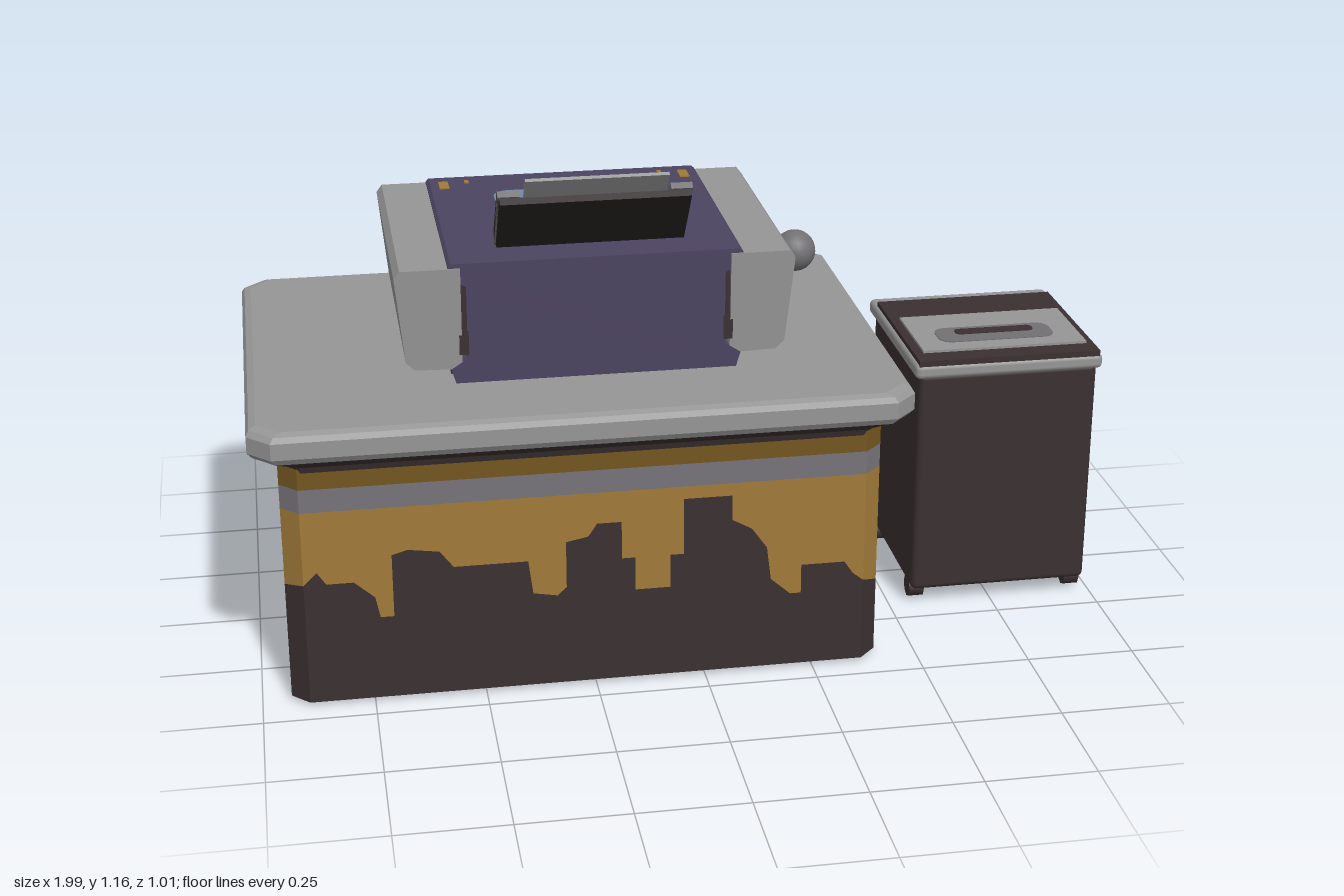
import * as THREE from 'three';
import { RoundedBoxGeometry } from 'three/addons/geometries/RoundedBoxGeometry.js';

const mat = (name, color, side = THREE.FrontSide) => {
  const m = new THREE.MeshStandardMaterial({ color, side });
  m.name = name;
  return m;
};

export function createModel() {
  const lightGrey = mat('light grey', 0x969696);
  const midGrey = mat('mid grey', 0x727073);
  const dark = mat('dark brown', 0x3b3031, THREE.DoubleSide);
  const gold = mat('gold', 0xa17a39, THREE.DoubleSide);
  const deepGold = mat('deep gold', 0x73561f, THREE.DoubleSide);
  const stripe = mat('stripe grey', 0x77747a, THREE.DoubleSide);
  const purple = mat('purple', 0x4c4461);
  const paleBlue = mat('pale blue', 0x7585a2);
  const blue = mat('blue', 0x22588a);
  const black = mat('near black', 0x272021);

  const root = new THREE.Group();
  const group = (name) => {
    const g = new THREE.Group();
    g.name = name;
    root.add(g);
    return g;
  };
  const add = (parent, name, geo, m, x = 0, y = 0, z = 0) => {
    const mesh = new THREE.Mesh(geo, m);
    mesh.name = name;
    mesh.position.set(x, y, z);
    parent.add(mesh);
    return mesh;
  };
  // box given by its limits on each axis, optionally rounded
  const box = (parent, name, m, [x0, x1], [y0, y1], [z0, z1], r = 0) => {
    const s = [x1 - x0, y1 - y0, z1 - z0];
    const geo = r ? new RoundedBoxGeometry(...s, 2, r) : new THREE.BoxGeometry(...s);
    return add(parent, name, geo, m, (x0 + x1) / 2, (y0 + y1) / 2, (z0 + z1) / 2);
  };
  // faceted surface between successive closed rings, lowest first
  const loft = (rings, capTop, capBottom) => {
    const v = [];
    const tri = (...ps) => ps.forEach((p) => v.push(...p));
    const n = rings[0].length;
    for (let k = 0; k + 1 < rings.length; k++) {
      for (let i = 0; i < n; i++) {
        const j = (i + 1) % n, a = rings[k], b = rings[k + 1];
        tri(a[i], a[j], b[j]);
        tri(a[i], b[j], b[i]);
      }
    }
    const lo = rings[0], hi = rings[rings.length - 1];
    for (let i = 1; i < n - 1; i++) {
      if (capTop) tri(hi[0], hi[i], hi[i + 1]);
      if (capBottom) tri(lo[0], lo[i + 1], lo[i]);
    }
    const g = new THREE.BufferGeometry();
    g.setAttribute('position', new THREE.Float32BufferAttribute(v, 3));
    g.computeVertexNormals();
    return g;
  };
  const cutRect = (hx, hz, c, y) => [
    [-hx + c, hz], [hx - c, hz], [hx, hz - c], [hx, -hz + c],
    [hx - c, -hz], [-hx + c, -hz], [-hx, -hz + c], [-hx, hz - c],
  ].map(([x, z]) => [x, y, z]);

  // ---- counter ----
  const counter = group('counter');
  counter.position.x = -0.265;
  const hx = 0.67, hz = 0.443;
  // skyline of the dark lower paint: distance along the wall, height
  const longSide = [
    [-0.63, 0.3], [-0.6, 0.33], [-0.58, 0.3], [-0.52, 0.3], [-0.475, 0.26], [-0.465, 0.21],
    [-0.435, 0.21], [-0.435, 0.36], [-0.4, 0.37], [-0.33, 0.36], [-0.3, 0.32], [-0.135, 0.32],
    [-0.125, 0.24], [-0.07, 0.23], [-0.05, 0.25], [-0.05, 0.36], [0, 0.37], [0.02, 0.4],
    [0.075, 0.4], [0.075, 0.31], [0.105, 0.31], [0.105, 0.23], [0.185, 0.23], [0.185, 0.31],
    [0.215, 0.31], [0.215, 0.445], [0.325, 0.445], [0.325, 0.385], [0.37, 0.36], [0.405, 0.31],
    [0.415, 0.23], [0.46, 0.19], [0.485, 0.19], [0.485, 0.26], [0.585, 0.26], [0.605, 0.23], [0.63, 0.21],
  ];
  const shortSide = [
    [0.403, 0.19], [0.4, 0.14], [0.39, 0.14], [0.39, 0.29], [0.31, 0.29], [0.31, 0.15],
    [0.28, 0.12], [0.27, 0.08], [0.25, 0.08], [0.21, 0.1], [0.205, 0.2], [0.1, 0.22],
    [0.08, 0.15], [-0.02, 0.15], [-0.04, 0.2], [-0.12, 0.2], [-0.12, 0.3], [-0.2, 0.3],
    [-0.21, 0.18], [-0.25, 0.1], [-0.3, 0.1], [-0.31, 0.17], [-0.398, 0.17], [-0.403, 0.29],
  ];
  const half = [
    ...longSide.map(([x, h]) => [x, h, hz]),
    ...shortSide.map(([z, h]) => [hx, h, z]),
  ];
  const skyline = [...half, ...half.map(([x, h, z]) => [-x, h, -z])];
  const level = (y) => skyline.map(([x, , z]) => [x, y, z]);
  add(counter, 'lowerWall', loft([level(0.01), skyline]), dark);
  add(counter, 'paintedWall', loft([skyline, level(0.475)]), gold);
  add(counter, 'wallStripe', loft([level(0.475), level(0.53)]), stripe);
  add(counter, 'upperWall', loft([level(0.53), level(0.58)]), deepGold);
  const slab = (list) => list.map(([y, inset]) => cutRect(0.732 - inset, 0.504 - inset, 0.05, y));
  add(counter, 'topCove', loft(slab([[0.57, 0.061], [0.585, 0.056], [0.6, 0.035], [0.615, 0.01]]), false, true), dark);
  add(counter, 'counterTop', loft(slab([[0.615, 0.01], [0.63, 0], [0.668, 0], [0.68, 0.007], [0.686, 0.022]]), true), lightGrey);
  add(root, 'ball', new THREE.SphereGeometry(0.052, 20, 14), midGrey, 0.365, 0.736, -0.34);

  // ---- machine on the counter ----
  const machine = group('machine');
  machine.position.x = -0.217;
  const poly = (pts) => new THREE.Shape(pts.map((p) => new THREE.Vector2(...p)));
  const halfBody = [[0.315, 0.685], [0.325, 0.72], [0.288, 0.745], [0.288, 0.915], [0.327, 0.94], [0.327, 0.963], [0.32, 0.97]];
  const bodyGeo = new THREE.ExtrudeGeometry(
    poly([...halfBody, ...halfBody.map(([x, y]) => [-x, y]).reverse()]),
    { depth: 0.625, bevelEnabled: false });
  // lower body is drawn in slightly at front and back
  const taper = (geo, mid, rate) => {
    const p = geo.attributes.position;
    for (let i = 0; i < p.count; i++) {
      const k = 1 - rate * (0.96 - Math.min(p.getY(i), 0.96));
      p.setZ(i, mid + (p.getZ(i) - mid) * k);
    }
    geo.computeVertexNormals();
    return geo;
  };
  bodyGeo.translate(0, 0, -0.34);
  add(machine, 'body', taper(bodyGeo, -0.028, 0.15), purple);
  const wingPts = [[0.3, 0.72], [0.405, 0.723], [0.425, 0.742], [0.445, 0.943], [0.432, 0.96], [0.3, 0.96]];
  for (const s of [1, -1]) {
    const pts = wingPts.map(([x, y]) => [x * s, y]);
    const wing = new THREE.ExtrudeGeometry(poly(pts), { depth: 0.63, bevelEnabled: false });
    wing.translate(0, 0, -0.342);
    add(machine, 'sideWing', taper(wing, -0.027, 0.2), lightGrey);
    const e = (a, b) => (s > 0 ? [a, b] : [-b, -a]);
    box(machine, 'wingSeam', dark, e(0.285, 0.306), [0.755, 0.925], [-0.325, 0.278]);
    box(machine, 'wingFoot', dark, e(0.27, 0.322), [0.688, 0.722], [-0.27, 0.22]);
    box(machine, 'cornerMark', gold, e(0.277, 0.3), [0.969, 0.973], [-0.3, -0.25]);
    box(machine, 'smallMark', gold, e(0.228, 0.238), [0.969, 0.973], [-0.305, -0.285]);
  }
  // thin plates lying on the lid
  const flat = (parent, name, shape, m, x, y, z) => {
    const geo = new THREE.ExtrudeGeometry(shape, { depth: 0.005, bevelEnabled: false, curveSegments: 6 });
    geo.rotateX(-Math.PI / 2);
    return add(parent, name, geo, m, x, y, z);
  };
  const pill = (w, h, r) => {
    const a = w / 2 - r, b = h / 2 - r, s = new THREE.Shape();
    s.absarc(a, b, r, 0, Math.PI / 2);
    s.absarc(-a, b, r, Math.PI / 2, Math.PI);
    s.absarc(-a, -b, r, Math.PI, Math.PI * 1.5);
    s.absarc(a, -b, r, Math.PI * 1.5, Math.PI * 2);
    return s;
  };
  flat(machine, 'lidWindow', pill(0.36, 0.135, 0.04), paleBlue, 0, 0.968, -0.142);
  const star = [];
  for (let i = 0; i < 10; i++) {
    const a = Math.PI / 2 + (i * Math.PI) / 5, r = i % 2 ? 0.036 : 0.07;
    star.push([Math.cos(a) * r * 1.15, Math.sin(a) * r]);
  }
  flat(machine, 'lidOrnament', poly(star), gold, 0, 0.968, 0.07);

  // tilted paper feeder
  const feeder = new THREE.Group();
  feeder.name = 'paperFeeder';
  feeder.position.set(0, 0.96, 0.165);
  feeder.rotation.x = 0.67;
  machine.add(feeder);
  box(feeder, 'tray', black, [-0.21, 0.21], [-0.01, 0.19], [-0.005, 0.013]);
  box(feeder, 'paper', lightGrey, [-0.157, 0.157], [0, 0.25], [-0.012, -0.004]);
  box(feeder, 'paperPrint', blue, [-0.155, 0.155], [0, 0.195], [-0.016, -0.011]);
  for (const s of [1, -1]) {
    box(feeder, 'paperGuide', midGrey, [s * 0.19 - 0.024, s * 0.19 + 0.024], [0.01, 0.195], [-0.02, -0.004]);
    box(feeder, 'guideEdge', dark, [s * 0.208 - 0.006, s * 0.208 + 0.006], [0.03, 0.185], [-0.024, -0.004]);
  }

  // ---- bin cabinet ----
  const bin = group('binCabinet');
  box(bin, 'cabinet', dark, [0.551, 0.981], [0.04, 0.6], [-0.243, 0.193], 0.014);
  box(bin, 'lidRim', lightGrey, [0.54, 0.992], [0.59, 0.626], [-0.262, 0.2], 0.012);
  box(bin, 'lid', dark, [0.548, 0.984], [0.615, 0.636], [-0.207, 0.197]);
  box(bin, 'lidPanel', lightGrey, [0.57, 0.966], [0.634, 0.642], [-0.077, 0.147]);
  flat(bin, 'slotSurround', pill(0.28, 0.09, 0.03), midGrey, 0.765, 0.639, 0.06);
  flat(bin, 'slot', pill(0.19, 0.032, 0.012), dark, 0.768, 0.641, 0.047);
  box(bin, 'backPlate', midGrey, [0.575, 0.957], [0.105, 0.535], [-0.258, -0.24]);
  for (const [a, b] of [[0.57, 0.68], [0.688, 0.842], [0.85, 0.962]])
    box(bin, 'backPanel', lightGrey, [a, b], [0.1, 0.54], [-0.27, -0.245], 0.006);
  const arch = new THREE.CatmullRomCurve3(
    [[-0.055, 0.265], [-0.055, 0.295], [-0.032, 0.32], [0.032, 0.32], [0.055, 0.295], [0.055, 0.265]]
      .map(([x, z]) => new THREE.Vector3(x + 0.765, 0.428, -z)));
  add(bin, 'backHandle', new THREE.TubeGeometry(arch, 20, 0.01, 8), lightGrey);
  for (const x of [0.572, 0.962])
    for (const z of [0.137, -0.185]) {
      const wheel = add(bin, 'wheel', new THREE.CylinderGeometry(0.027, 0.027, 0.036, 8), dark, x, 0.027, z);
      wheel.rotation.z = Math.PI / 2;
    }
  return root;
}
